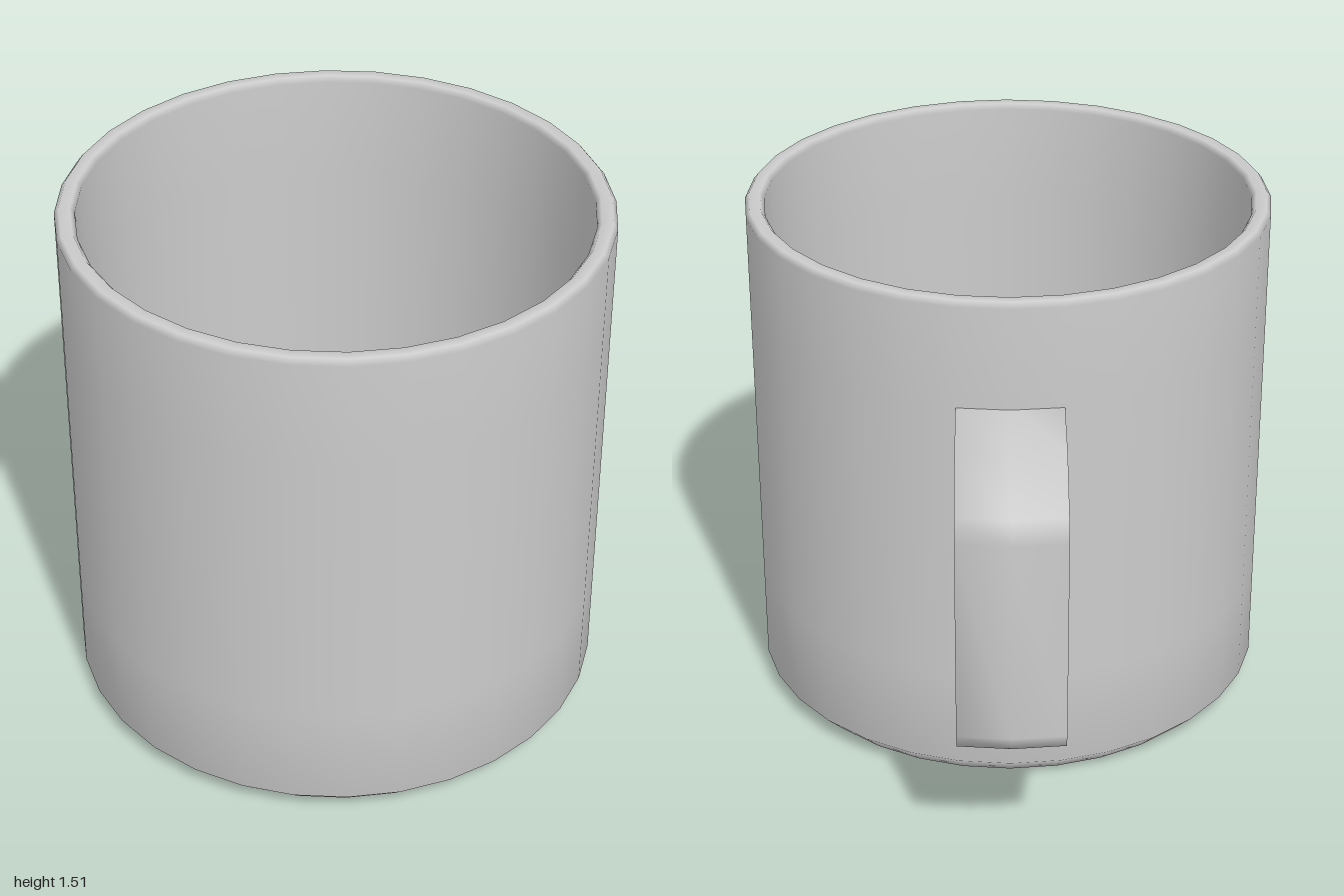
import * as THREE from 'three';

const material = new THREE.MeshStandardMaterial({ color: 0xcccccc });
const CUP_Z = 0.245;

// Turned cup: underside, chamfered foot, outer wall, rim, inner wall, floor
function makeCup() {
  const profile = [
    [0, 0], [0.69, 0], [0.75, 0.06], [0.75, 0.355], [0.75, 1.2],
    [0.75, 1.495], [0.738, 1.51], [0.707, 1.51], [0.695, 1.495],
    [0.695, 1.2], [0.695, 0.355], [0.695, 0.1], [0.655, 0.06], [0, 0.06],
  ].map(([r, y]) => new THREE.Vector2(r, y));
  const cup = new THREE.Mesh(new THREE.LatheGeometry(profile, 32), material);
  cup.name = 'cup';
  cup.position.z = CUP_Z;
  return cup;
}

// Handle: six-point cross-sections swept from the upper root to the lower root
function makeHandle() {
  const midY = 0.778, w = 0.146, bow = 0.014;
  // outer z, outer y, inner z, inner y for the upper half
  const upper = [
    [-0.48, 1.2, -0.48, 1.075], [-0.743, 1.2, -0.743, 1.13],
    [-0.965, 1.125, -0.877, 1.065], [-1.0, 1.07, -0.913, 1.015],
  ];
  const lower = upper.map(([oz, oy, iz, iy]) => [oz, 2 * midY - oy, iz, 2 * midY - iy]).reverse();
  const sections = [...upper, ...lower];
  const positions = [], index = [];
  sections.forEach(([oz, oy, iz, iy]) => {
    const b = oz < -0.9 ? bow : 0;
    positions.push(-w, oy, oz + b, 0, oy, oz, w, oy, oz + b);
    positions.push(w, iy, iz + b, 0, iy, iz, -w, iy, iz + b);
  });
  for (let s = 0; s < sections.length - 1; s++) {
    for (let k = 0; k < 6; k++) {
      const a = s * 6 + k, b = s * 6 + (k + 1) % 6;
      index.push(a, b, a + 6, b, b + 6, a + 6);
    }
  }
  // Orient faces outward: the first outer face must look upward
  const [a, b, c] = index.slice(0, 3).map((i) => new THREE.Vector3().fromArray(positions, i * 3));
  if (b.sub(a).cross(c.sub(a)).y < 0) index.reverse();
  const geometry = new THREE.BufferGeometry();
  geometry.setAttribute('position', new THREE.Float32BufferAttribute(positions, 3));
  geometry.setIndex(index);
  geometry.computeVertexNormals();
  const handle = new THREE.Mesh(geometry, material);
  handle.name = 'handle';
  return handle;
}

export function createModel() {
  const mug = new THREE.Group();
  mug.name = 'mug';
  mug.add(makeCup(), makeHandle());
  return mug;
}
